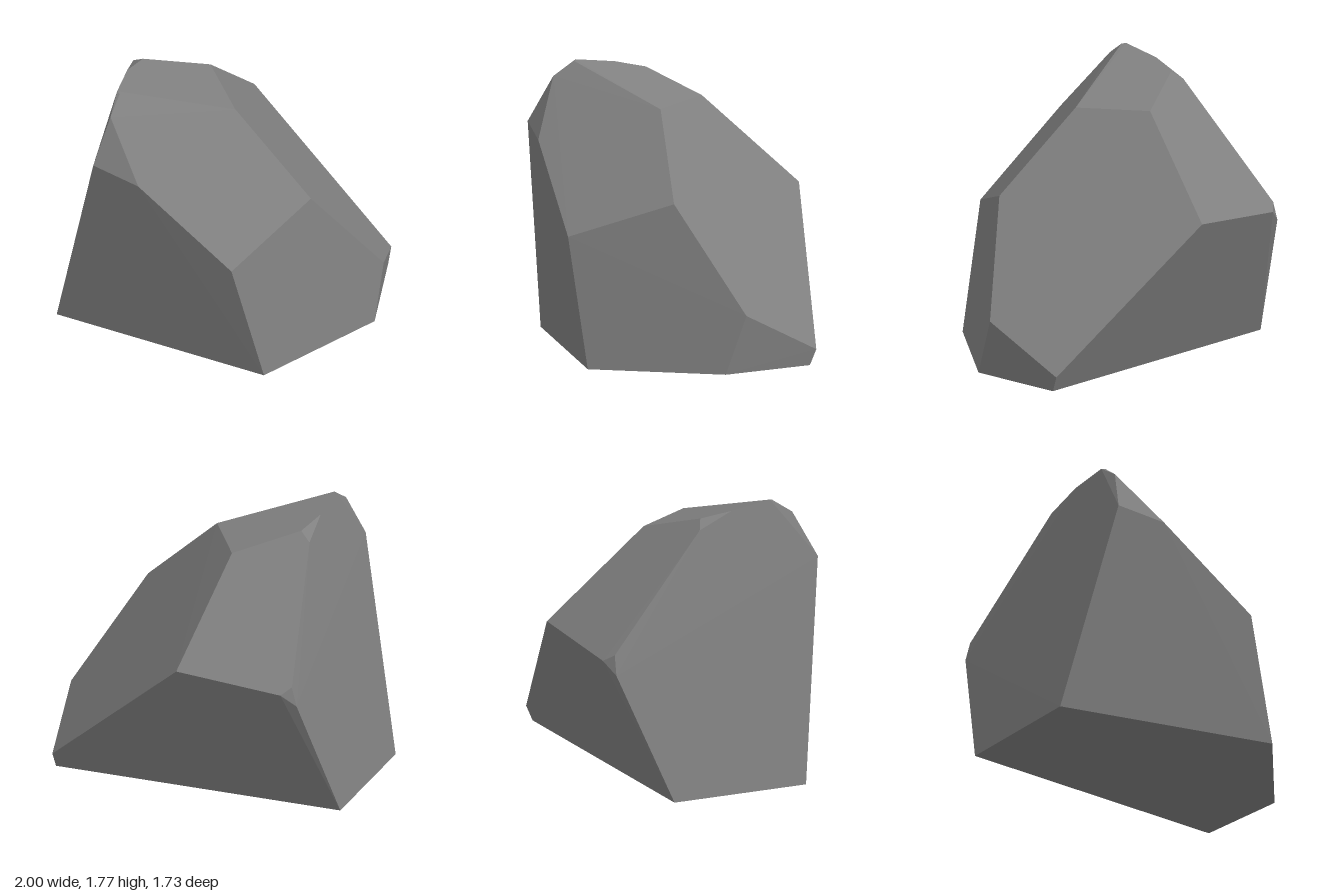
import * as THREE from 'three';
import { ConvexGeometry } from 'three/addons/geometries/ConvexGeometry.js';

export function createModel() {
  const group = new THREE.Group();
  group.name = 'rock';

  const stone = new THREE.MeshStandardMaterial({ color: 0x808080 });
  stone.name = 'grey stone';

  // Corners of the faceted boulder, from the ground up
  const base = [
    [-1, 0, 0.46], [0.41, 0.015, 0.82], [0.97, 0.02, 0.13],
    [0.925, 0.02, -0.48], [-0.965, 0, -0.45],
  ];
  const belly = [
    [1, 0.39, 0], [0.935, 0.12, -0.52], [0.6, 1.06, 0.31], [0.21, 0.83, 0.86],
    [-0.02, 0.99, -0.865], [-0.7, 0.912, -0.82], [-0.757, 0.955, -0.765], [-0.79, 0.83, -0.77],
  ];
  const crown = [
    [-0.41, 1.33, 0.765], [-0.715, 1.39, 0.69], [-0.635, 1.68, 0.55],
    [-0.605, 1.77, 0.42], [-0.625, 1.775, 0.4], [0.08, 1.56, 0.15],
    [-0.17, 1.57, -0.26], [-0.56, 1.7, -0.06], [-0.62, 1.74, 0.13], [-0.63, 1.647, -0.1],
  ];

  // Convex hull gives the flat chiselled faces
  const corners = [...base, ...belly, ...crown].map((p) => new THREE.Vector3(...p));
  const boulder = new THREE.Mesh(new ConvexGeometry(corners), stone);
  boulder.name = 'boulder';
  group.add(boulder);

  return group;
}
